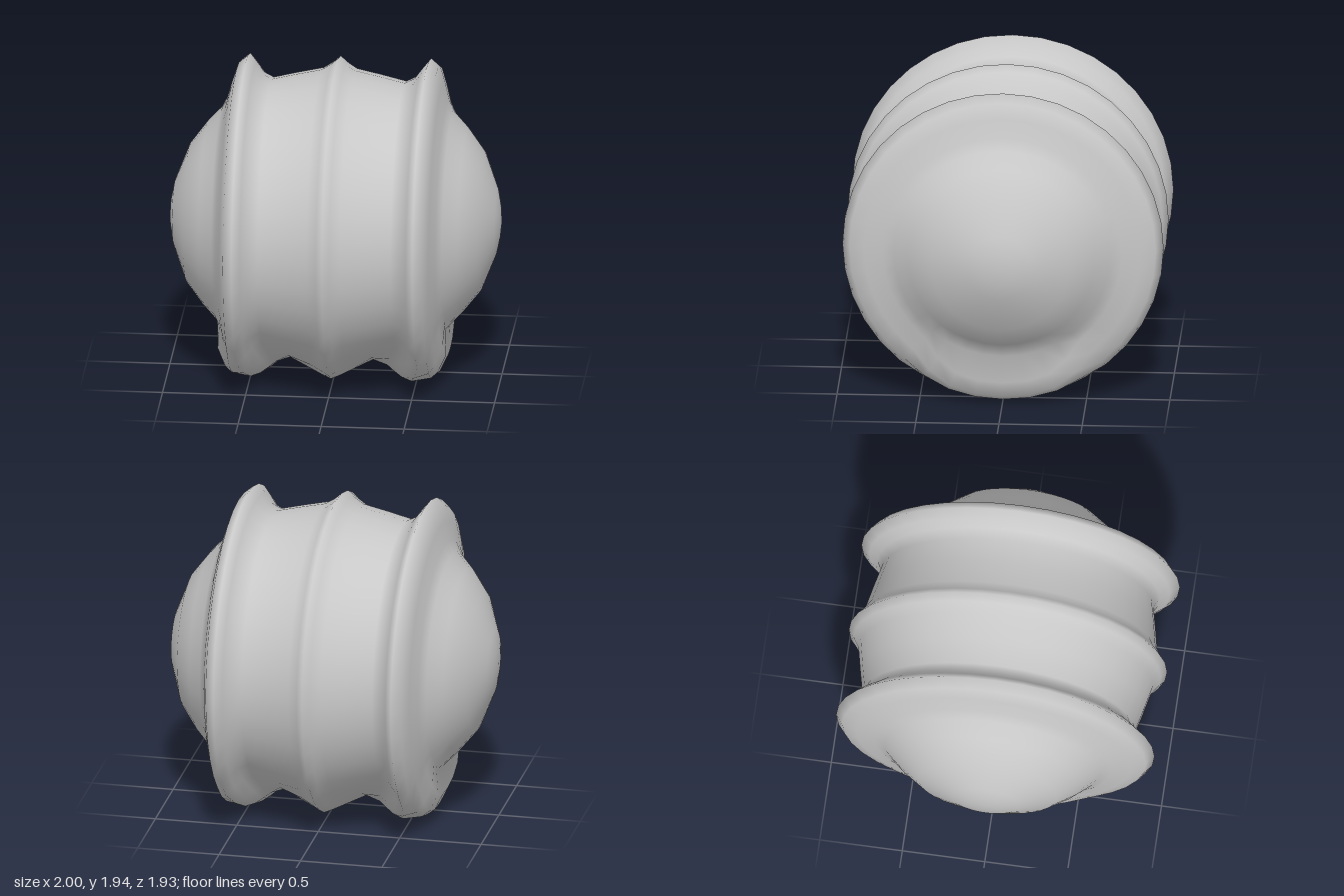
import * as THREE from 'three';

const AXIS_Y = 0.975;
const SEGMENTS = 36;

// Half profiles as [x, radius], from the middle ridge out to the cap tip
const ROUND = [
  [0, 0.965], [0.04, 0.93], [0.1, 0.892], [0.25, 0.86], [0.4, 0.825], [0.46, 0.855],
  [0.5, 0.91], [0.545, 0.965], [0.6, 0.92], [0.63, 0.83], [0.66, 0.72], [0.695, 0.65],
  [0.78, 0.56], [0.885, 0.42], [0.97, 0.2], [0.99, 0.1], [1, 0],
];
// Underside: the same rings, with the rims swollen into broad feet
const FEET = [
  [0, 0.975], [0.05, 0.955], [0.12, 0.92], [0.25, 0.85], [0.33, 0.885], [0.37, 0.92],
  [0.42, 0.955], [0.48, 0.975], [0.6, 0.955], [0.64, 0.925], [0.69, 0.82], [0.68, 0.655],
  [0.78, 0.55], [0.885, 0.42], [0.97, 0.2], [0.99, 0.1], [1, 0],
];

// Mirror a half profile into a full one running from -x to +x
function mirrored(half) {
  return [...half.slice(1).reverse().map(([x, r]) => [-x, r]), ...half];
}

export function createModel() {
  const group = new THREE.Group();
  group.name = 'ridgedBarrel';
  const grey = new THREE.MeshStandardMaterial({ color: 0xc8c8c8 });
  grey.name = 'plain grey';

  // Rings swept round the x axis, blending to the foot profile underneath
  const upper = mirrored(ROUND);
  const lower = mirrored(FEET);
  const positions = [];
  upper.forEach(([x, r], i) => {
    for (let j = 0; j < SEGMENTS; j++) {
      const a = (j / SEGMENTS) * Math.PI * 2;
      const t = THREE.MathUtils.smoothstep(-Math.sin(a), 0.74, 0.98);
      const px = THREE.MathUtils.lerp(x, lower[i][0], t);
      const pr = THREE.MathUtils.lerp(r, lower[i][1], t);
      positions.push(px, AXIS_Y + pr * Math.sin(a), pr * Math.cos(a));
    }
  });

  // Faces between two rings of the sweep
  function band(from, to) {
    const index = [];
    for (let i = from; i < to; i++) {
      for (let j = 0; j < SEGMENTS; j++) {
        const k = (j + 1) % SEGMENTS;
        const a = i * SEGMENTS + j, b = a + SEGMENTS;
        const d = i * SEGMENTS + k, c = d + SEGMENTS;
        if (i < upper.length - 2) index.push(a, b, c);
        else index.push(a, b, d);
        if (i > 0 && i < upper.length - 2) index.push(a, c, d);
      }
    }
    return index;
  }

  // Smooth normals over the whole skin, so the parts join without seams
  const last = upper.length - 1;
  const skin = new THREE.BufferGeometry();
  skin.setAttribute('position', new THREE.Float32BufferAttribute(positions, 3));
  skin.setIndex(band(0, last));
  skin.computeVertexNormals();
  for (let j = 0; j < SEGMENTS; j++) {
    skin.attributes.normal.setXYZ(j, -1, 0, 0);
    skin.attributes.normal.setXYZ(last * SEGMENTS + j, 1, 0, 0);
  }

  // Domed caps, flared rims and the ridged drum between them
  const parts = [
    ['rightCap', 0, 5], ['rightRim', 5, 12], ['drum', 12, last - 12],
    ['leftRim', last - 12, last - 5], ['leftCap', last - 5, last],
  ];
  for (const [name, from, to] of parts) {
    const geometry = new THREE.BufferGeometry();
    geometry.setAttribute('position', skin.attributes.position);
    geometry.setAttribute('normal', skin.attributes.normal);
    geometry.setIndex(band(from, to));
    const mesh = new THREE.Mesh(geometry, grey);
    mesh.name = name;
    group.add(mesh);
  }
  return group;
}
